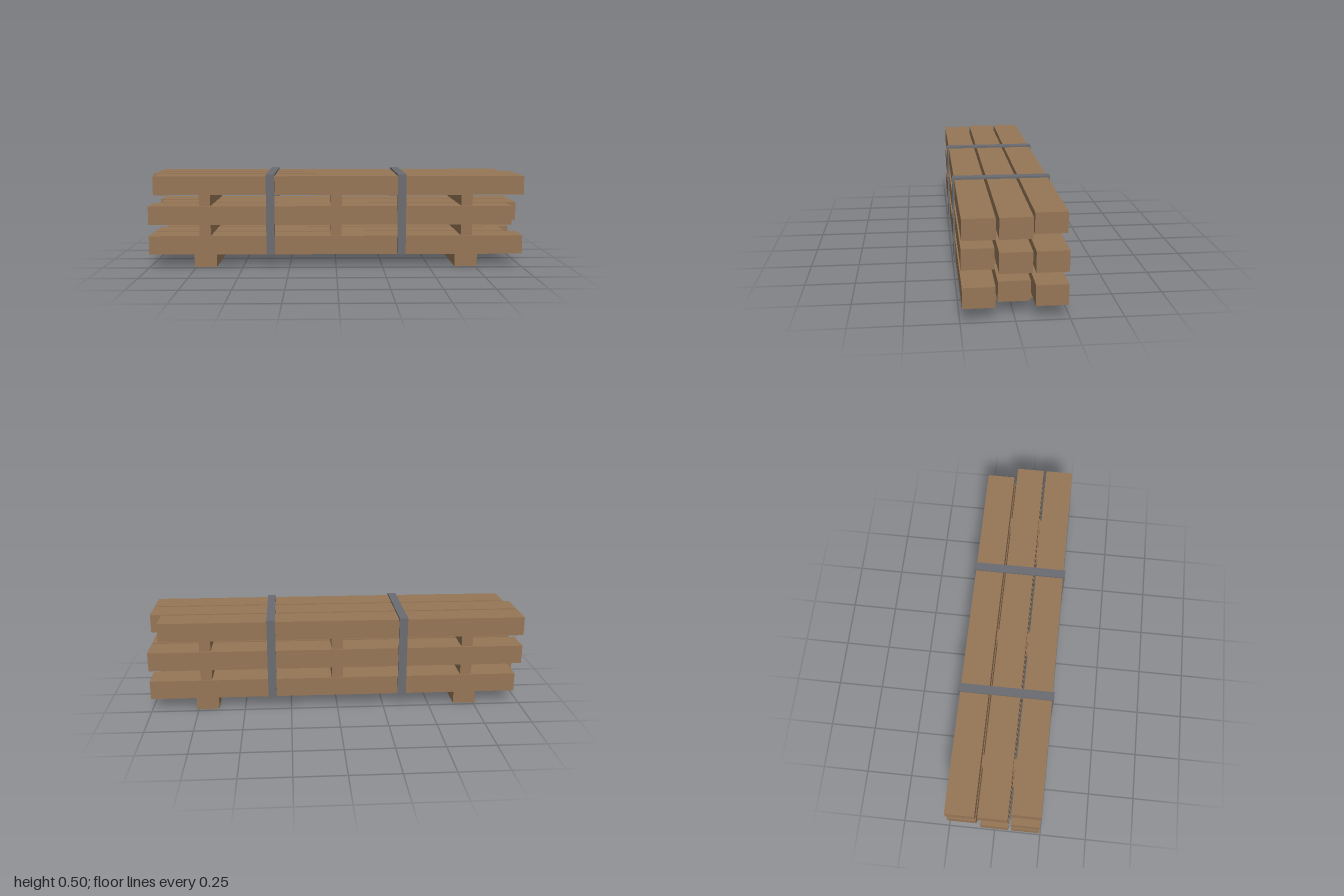
import * as THREE from 'three';

export function createModel() {
  const model = new THREE.Group();
  model.name = 'timberStack';

  const wood = new THREE.MeshStandardMaterial({ color: 0x967656 });
  wood.name = 'wood';
  const steel = new THREE.MeshStandardMaterial({ color: 0x6b6c71 });
  steel.name = 'steel';

  // Box given by its lower and upper limits on each axis
  function box(name, material, [x0, x1], [y0, y1], [z0, z1]) {
    const mesh = new THREE.Mesh(new THREE.BoxGeometry(x1 - x0, y1 - y0, z1 - z0), material);
    mesh.position.set((x0 + x1) / 2, (y0 + y1) / 2, (z0 + z1) / 2);
    mesh.name = name;
    model.add(mesh);
  }

  // Three layers of three beams, with staggered ends that shift by one per layer
  const ends = [[-1, 1], [-1, 0.94], [-0.97, 1]];
  for (let layer = 0; layer < 3; layer++) {
    const y = 0.07 + layer * 0.16;
    for (let row = 0; row < 3; row++) {
      const z = 0.165 * (1 - row);
      box('beam', wood, ends[(row + layer * 4) % 3], [y, y + 0.1], [z - 0.075, z + 0.075]);
    }
    // Spacers between this layer and the next
    if (layer < 2) {
      for (const x of [-0.7, 0, 0.7]) {
        box('spacer', wood, [x - 0.03, x + 0.03], [y + 0.1, y + 0.16], [-0.23, 0.23]);
      }
    }
  }

  // Bearers under the stack
  for (const x of [-0.7, 0.7]) {
    box('bearer', wood, [x - 0.06, x + 0.06], [0, 0.07], [-0.23, 0.23]);
  }

  // Straps over the top and down both sides
  for (const x of [-0.35, 0.35]) {
    const width = [x - 0.0225, x + 0.0225];
    box('strapTop', steel, width, [0.49, 0.5], [-0.25, 0.25]);
    box('strapFront', steel, width, [0.07, 0.49], [0.24, 0.25]);
    box('strapBack', steel, width, [0.07, 0.49], [-0.25, -0.24]);
  }

  return model;
}
